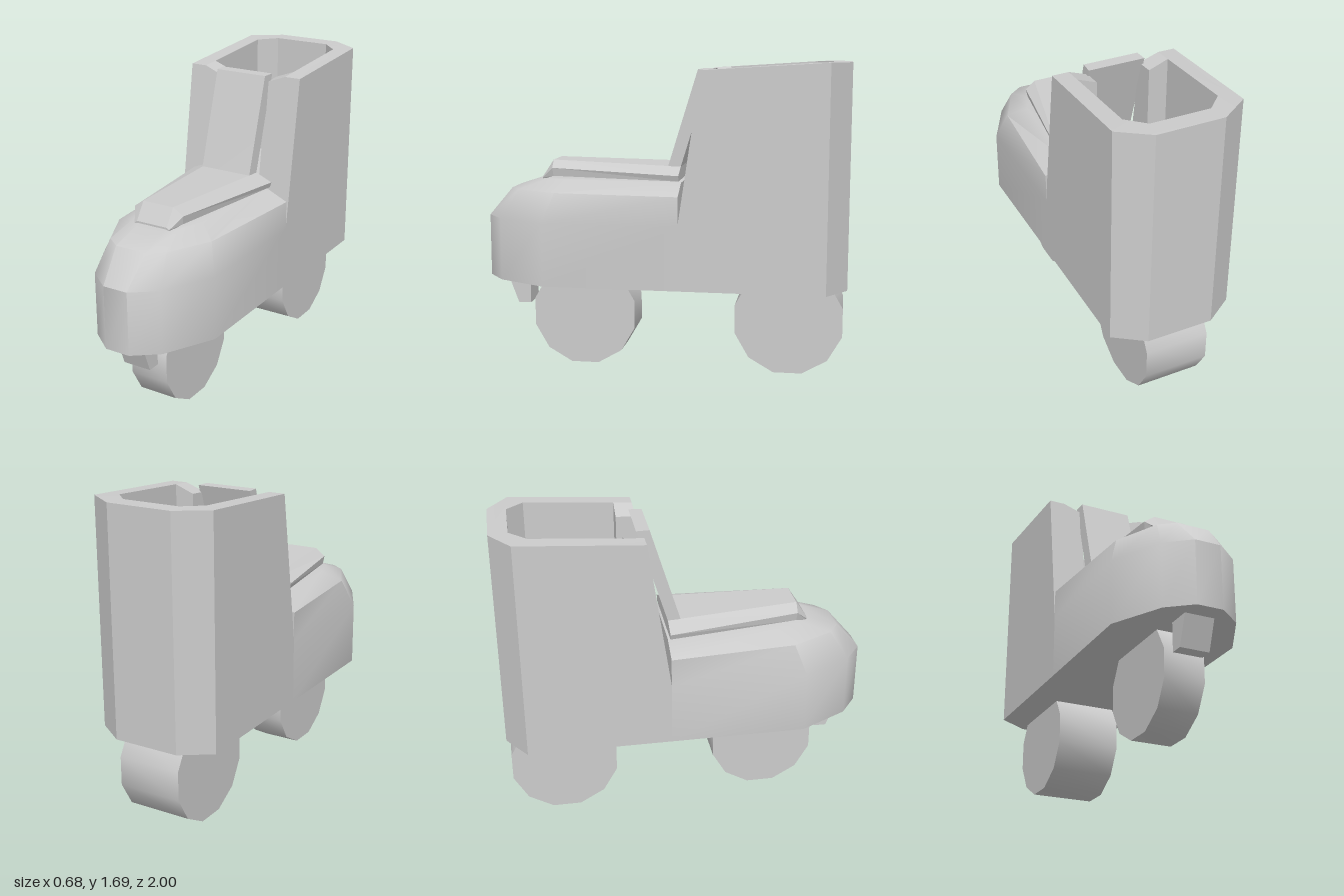
import * as THREE from 'three';
import { toCreasedNormals } from 'three/addons/utils/BufferGeometryUtils.js';

const material = new THREE.MeshStandardMaterial({ color: 0xcccccc });

function addPart(group, name, geometry, crease = 0.1) {
  const mesh = new THREE.Mesh(toCreasedNormals(geometry, crease), material);
  mesh.name = name;
  group.add(mesh);
  return mesh;
}

// Completes a right-hand (+x) half outline with its mirror image.
const mirrored = (half) => [...half, ...half.map(([x, ...rest]) => [-x, ...rest]).reverse()];

// Skins a stack of convex [x, y, z] rings and caps both ends.
function loft(rings) {
  const n = rings[0].length, index = [];
  for (let r = 0; r < rings.length - 1; r++) {
    for (let i = 0; i < n; i++) {
      const a = r * n + i, b = r * n + (i + 1) % n;
      index.push(a, b, b + n, a, b + n, a + n);
    }
  }
  const top = (rings.length - 1) * n;
  for (let i = 1; i < n - 1; i++) {
    index.push(0, i + 1, i, top, top + i, top + i + 1);
  }
  const geometry = new THREE.BufferGeometry();
  geometry.setAttribute('position', new THREE.Float32BufferAttribute(rings.flat(2), 3));
  geometry.setIndex(index);
  geometry.computeVertexNormals();
  return geometry;
}

// Raises an [x, z] plan outline from y0 to y1, then applies a vertex rule.
function raise(plan, y0, y1, rule) {
  const shape = new THREE.Shape(plan.map(([x, z]) => new THREE.Vector2(x, -z)));
  const geometry = new THREE.ExtrudeGeometry(shape, { depth: y1 - y0, bevelEnabled: false });
  geometry.rotateX(-Math.PI / 2).translate(0, y0, 0);
  const p = geometry.attributes.position, v = new THREE.Vector3();
  for (let i = 0; rule && i < p.count; i++) {
    rule(v.fromBufferAttribute(p, i));
    p.setXYZ(i, v.x, v.y, v.z);
  }
  geometry.computeVertexNormals();
  return geometry;
}

export function createModel() {
  const group = new THREE.Group();

  // Rounded foot with a faceted toe
  const sole = [[0.07, 1], [0.2, 0.9], [0.34, 0.63], [0.34, -0.11]];
  const footLevels = [
    [0.485, sole],
    [0.83, sole],
    [0.99, [[0.09, 0.86], [0.17, 0.8], [0.285, 0.57], [0.34, -0.11]]],
    [1.05, [[0.08, 0.68], [0.14, 0.64], [0.19, 0.5], [0.21, -0.11]]],
  ];
  addPart(group, 'foot', loft(footLevels.map(([y, half]) =>
    mirrored(half.map(([x, z]) => [x, y, z])))), 0.7);

  // Heel block and hollow cuff, front edge leaning back above the ankle
  const front = -0.11, ankle = 0.84, floor = 1.0, rim = 1.69;
  const heelPlan = mirrored([[0.34, front], [0.34, -0.89], [0.18, -1]]);
  const lean = (v) => {
    if (v.z > front - 0.01) v.z -= Math.max(0, v.y - ankle) * 0.148;
  };
  addPart(group, 'heel', raise(heelPlan, 0.485, ankle));
  addPart(group, 'ankle', raise(heelPlan, ankle, floor, lean));

  const outer = [[0.145, front], [0.25, front], [0.34, front], [0.34, -0.89], [0.18, -1]];
  const inner = [[0.16, -0.9], [0.25, -0.81], [0.25, -0.33], [0.145, -0.33]];
  const mirror = ([x, z]) => [-x, z];
  const cuffPlan = [
    ...outer, ...outer.map(mirror).reverse(),
    ...inner.map(mirror).reverse(), ...inner,
  ];
  // The U outline runs around the outside and returns along the cavity
  const half = outer.length;
  const orderedPlan = [
    ...cuffPlan.slice(0, 2 * half),
    ...inner.map(mirror).reverse(),
    ...inner,
  ];
  addPart(group, 'cuff', raise(orderedPlan, floor, rim, (v) => {
    if (v.y > rim - 0.01) {
      // Rim dips towards the front and at the edges of the slot
      v.y -= 0.04 * THREE.MathUtils.clamp((v.z + 0.85) / 0.62, 0, 1);
      if (Math.abs(v.x) < 0.15 && v.z > -0.4) v.y -= 0.04;
    }
    lean(v);
  }));

  // Tongue panel leaning in the cuff slot
  const tongueLevels = [[1.1, -0.02, -0.1], [1.13, -0.03, -0.1], [1.65, -0.19, -0.26]];
  addPart(group, 'tongue', loft(tongueLevels.map(([y, zFront, zBack]) =>
    mirrored([[0.15, y, zFront], [0.155, y, zBack]]))));

  // Lace cover tapering towards the toe: lower edge, outer edge, ridge
  addPart(group, 'laceCover', loft([
    mirrored([[0.24, 1.06, -0.1], [0.25, 1.09, -0.1], [0.155, 1.13, -0.1]]),
    mirrored([[0.14, 1.065, 0.61], [0.147, 1.11, 0.615], [0.09, 1.15, 0.62]]),
    mirrored([[0.1, 1.04, 0.68], [0.105, 1.05, 0.68], [0.09, 1.06, 0.68]]),
  ]));

  // Twelve-sided wheels, flat side down: radius is to the flats
  const wheels = [
    ['frontWheel', 0.45, 0.29, 0.285, 0.22],
    ['rearWheel', -0.69, 0.305, 0.29, 0.35],
  ];
  for (const [name, z, y, flat, width] of wheels) {
    const radius = flat / Math.cos(Math.PI / 12);
    const wheel = new THREE.CylinderGeometry(radius, radius, width, 12);
    wheel.rotateY(Math.PI / 12).rotateZ(Math.PI / 2);
    addPart(group, name, wheel, 0.6).position.set(0, y, z);
  }

  // Tapered toe stop
  addPart(group, 'toeStop', loft([
    mirrored([[0.08, 0.33, 0.84], [0.08, 0.33, 0.77]]),
    mirrored([[0.08, 0.49, 0.9], [0.08, 0.49, 0.77]]),
  ]));

  return group;
}
